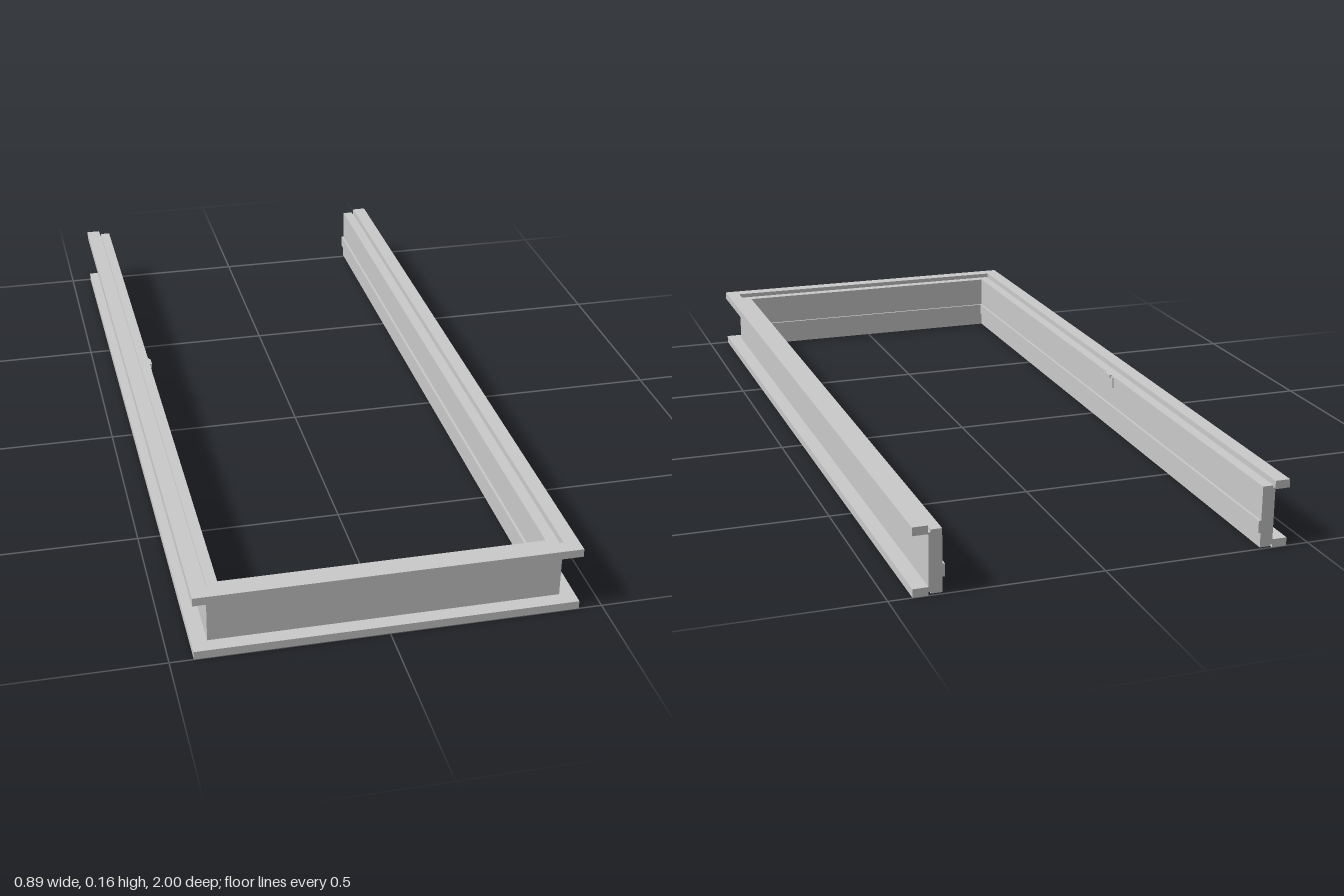
import * as THREE from 'three';

const HALF_WIDTH = 0.445;

// Sweeps a closed profile of [inset, height] points, given counterclockwise,
// round a U-shaped frame with mitred corners and capped open ends.
function sweepFrame(name, profile, material) {
  const stations = [
    (d, y) => [-HALF_WIDTH + d, y, -1],
    (d, y) => [-HALF_WIDTH + d, y, 1 - d],
    (d, y) => [HALF_WIDTH - d, y, 1 - d],
    (d, y) => [HALF_WIDTH - d, y, -1],
  ];
  const pos = [];
  const n = profile.length;
  for (let s = 0; s < 3; s++) {
    for (let i = 0; i < n; i++) {
      const p = profile[i], q = profile[(i + 1) % n];
      const a = stations[s](...p), b = stations[s](...q);
      const c = stations[s + 1](...q), d = stations[s + 1](...p);
      pos.push(...a, ...b, ...c, ...a, ...c, ...d);
    }
  }
  const outline = profile.map(([d, y]) => new THREE.Vector2(d, y));
  for (const [i, j, k] of THREE.ShapeUtils.triangulateShape(outline, [])) {
    for (const v of [i, k, j]) pos.push(...stations[0](...profile[v]));
    for (const v of [i, j, k]) pos.push(...stations[3](...profile[v]));
  }
  const geometry = new THREE.BufferGeometry();
  geometry.setAttribute('position', new THREE.Float32BufferAttribute(pos, 3));
  geometry.computeVertexNormals();
  const mesh = new THREE.Mesh(geometry, material);
  mesh.name = name;
  return mesh;
}

export function createModel() {
  const group = new THREE.Group();
  group.name = 'doorFrame';
  const material = new THREE.MeshStandardMaterial({ color: 0xcccccc, flatShading: true });

  // Casing flanges, jamb and raised door stop in one section
  const section = [
    [0, 0], [0.036, 0], [0.036, 0.008], [0.041, 0.008], [0.041, 0.004], [0.067, 0.004],
    [0.067, 0.04], [0.073, 0.04], [0.073, 0.07], [0.067, 0.07],
    [0.067, 0.152], [0.041, 0.152], [0.041, 0.146], [0.036, 0.146], [0.036, 0.162], [0, 0.162],
    [0, 0.142], [0.036, 0.142], [0.036, 0.02], [0, 0.02],
  ];
  group.add(sweepFrame('frame', section, material));

  // Strike plate with a small lip, set on the upper rabbet of one jamb
  const strike = new THREE.Group();
  strike.name = 'strikePlate';
  const plate = new THREE.Mesh(new THREE.BoxGeometry(0.004, 0.028, 0.06), material);
  plate.name = 'plate';
  const lip = new THREE.Mesh(new THREE.BoxGeometry(0.006, 0.008, 0.03), material);
  lip.name = 'lip';
  lip.position.set(0.002, 0.014, 0);
  strike.add(plate, lip);
  strike.position.set(-HALF_WIDTH + 0.068, 0.134, -0.12);
  group.add(strike);

  return group;
}
